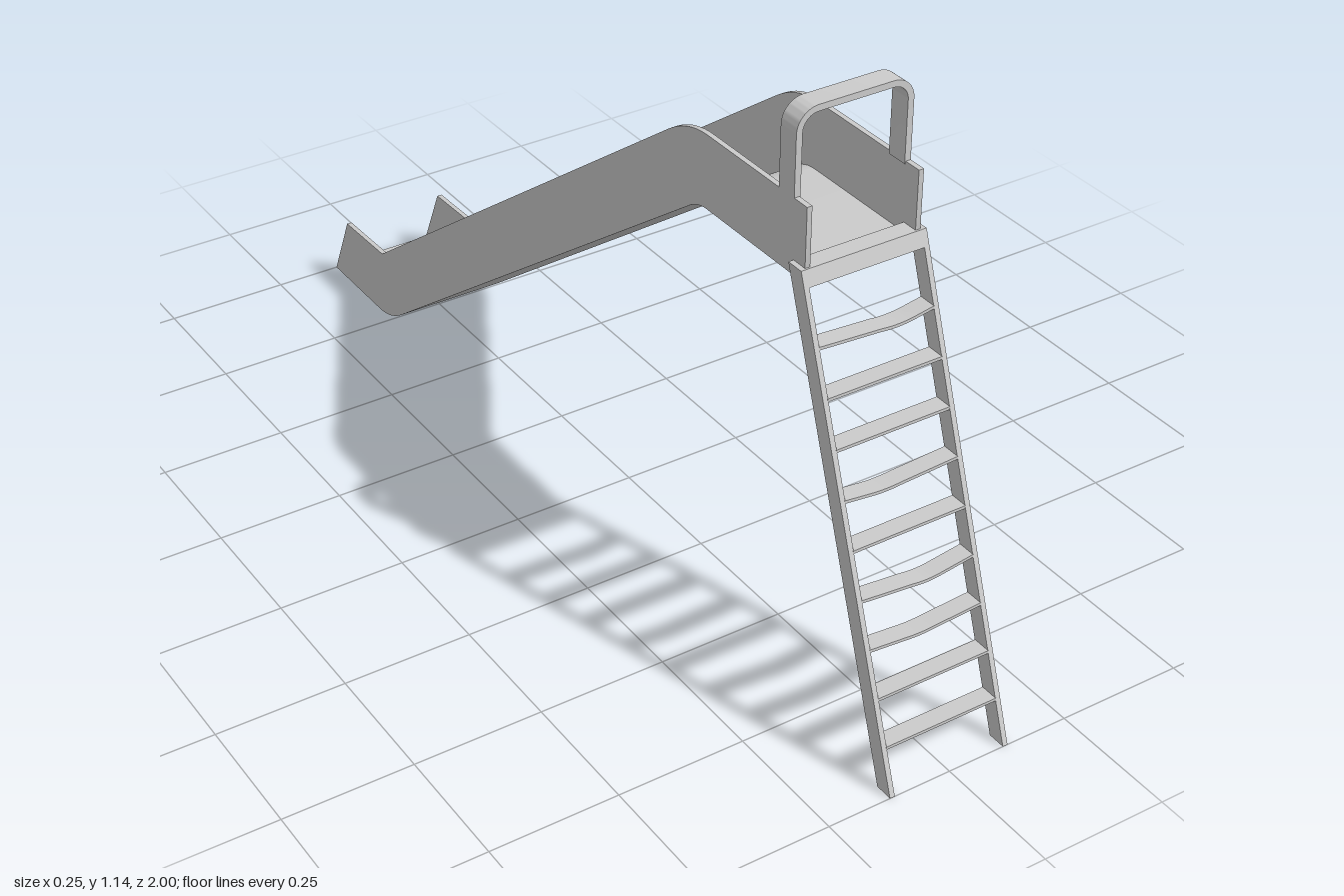
import * as THREE from 'three';
import { toCreasedNormals } from 'three/addons/utils/BufferGeometryUtils.js';

const material = new THREE.MeshStandardMaterial({ color: 0xcccccc });

function addMesh(parent, name, geometry) {
  const mesh = new THREE.Mesh(toCreasedNormals(geometry, 0.5), material);
  mesh.name = name;
  parent.add(mesh);
  return mesh;
}

// Extrudes a side profile, drawn as (z, y), between two x positions.
function sideExtrude(shape, x0, x1) {
  const geometry = new THREE.ExtrudeGeometry(shape, { depth: x1 - x0, bevelEnabled: false, curveSegments: 10 });
  geometry.rotateY(-Math.PI / 2);
  geometry.translate(x1, 0, 0);
  return geometry;
}

// Underside of the chute, traced from the platform to the exit.
function traceUnderside(path, lift) {
  path.lineTo(0.42, 0.845 + lift);
  path.quadraticCurveTo(0.392, 0.845 + lift, 0.37, 0.829 + lift);
  path.lineTo(-0.70, 0.0385 + lift);
  path.quadraticCurveTo(-0.752, lift, -0.80, lift);
}

function wallShape() {
  const s = new THREE.Shape();
  s.moveTo(0.697, 0.87);
  s.lineTo(0.69, 0.845);
  traceUnderside(s, 0);
  s.lineTo(-1, 0);
  s.lineTo(-0.935, 0.142);
  s.lineTo(-0.778, 0.147);
  s.lineTo(0.30, 0.942);
  s.quadraticCurveTo(0.358, 0.985, 0.42, 0.985);
  s.lineTo(0.697, 0.985);
  s.closePath();
  return s;
}

function floorShape() {
  const t = 0.01;
  const s = new THREE.Shape();
  s.moveTo(0.69, 0.845);
  traceUnderside(s, 0);
  s.lineTo(-1, 0);
  s.lineTo(-0.995, t);
  s.lineTo(-0.80, t);
  s.quadraticCurveTo(-0.752, t, -0.70, 0.0385 + t);
  s.lineTo(0.37, 0.829 + t);
  s.quadraticCurveTo(0.392, 0.845 + t, 0.42, 0.845 + t);
  s.lineTo(0.69, 0.845 + t);
  s.closePath();
  return s;
}

// The ladder leans back: z of its rear face at a given height.
const ladderBack = (y) => 0.965 - 0.343 * y;
const ladderDepth = 0.035;

function ladderSlice(y0, y1) {
  return new THREE.Shape([
    new THREE.Vector2(ladderBack(y0), y0),
    new THREE.Vector2(ladderBack(y0) + ladderDepth, y0),
    new THREE.Vector2(ladderBack(y1) + ladderDepth, y1),
    new THREE.Vector2(ladderBack(y1), y1),
  ]);
}

// Thin tread, sagging by dip at position bendX.
function rungGeometry(y, dip, bendX) {
  const w = 0.116, t = 0.003;
  const s = new THREE.Shape();
  s.moveTo(-w, y - t);
  s.lineTo(bendX - 0.03, y - t - dip * 0.8);
  s.quadraticCurveTo(bendX, y - t - dip * 1.2, bendX + 0.03, y - t - dip * 0.8);
  s.lineTo(w, y - t);
  s.lineTo(w, y + t);
  s.lineTo(bendX + 0.03, y + t - dip * 0.8);
  s.quadraticCurveTo(bendX, y + t - dip * 1.2, bendX - 0.03, y + t - dip * 0.8);
  s.lineTo(-w, y + t);
  s.closePath();
  const geometry = new THREE.ExtrudeGeometry(s, { depth: ladderDepth, bevelEnabled: false, curveSegments: 6 });
  geometry.translate(0, 0, ladderBack(y));
  return geometry;
}

// Upside-down U with rounded corners, traced up the left and down the right.
function handrailShape() {
  const base = 0.98, o = 0.115, i = 0.103, top = 1.14, r = 0.042;
  const s = new THREE.Shape();
  s.moveTo(-o, base);
  s.lineTo(-o, top - r);
  s.absarc(-o + r, top - r, r, Math.PI, Math.PI / 2, true);
  s.absarc(o - r, top - r, r, Math.PI / 2, 0, true);
  s.lineTo(o, base);
  s.lineTo(i, base);
  s.absarc(o - r, top - r, r - o + i, 0, Math.PI / 2, false);
  s.absarc(-o + r, top - r, r - o + i, Math.PI / 2, Math.PI, false);
  s.lineTo(-i, base);
  s.closePath();
  return s;
}

export function createModel() {
  const model = new THREE.Group();
  model.name = 'playgroundSlide';

  // Chute: bent floor between two side walls
  const chute = new THREE.Group();
  chute.name = 'chute';
  model.add(chute);
  addMesh(chute, 'chuteFloor', sideExtrude(floorShape(), -0.106, 0.106));
  addMesh(chute, 'leftWall', sideExtrude(wallShape(), 0.105, 0.115));
  addMesh(chute, 'rightWall', sideExtrude(wallShape(), -0.115, -0.105));

  // Handrail arch over the platform
  const rail = new THREE.ExtrudeGeometry(handrailShape(), { depth: 0.042, bevelEnabled: false, curveSegments: 10 });
  rail.translate(0, 0, 0.62);
  addMesh(model, 'handrail', rail);

  // Ladder: two leaning rails, a top bar and nine treads
  const ladder = new THREE.Group();
  ladder.name = 'ladder';
  model.add(ladder);
  addMesh(ladder, 'leftLadderRail', sideExtrude(ladderSlice(0, 0.873), 0.115, 0.125));
  addMesh(ladder, 'rightLadderRail', sideExtrude(ladderSlice(0, 0.873), -0.125, -0.115));
  addMesh(ladder, 'topBar', sideExtrude(ladderSlice(0.844, 0.873), -0.115, 0.115));

  // Worn treads: number -> [sag, x of the lowest point]
  const worn = { 3: [0.008, -0.01], 4: [0.012, 0.02], 6: [0.008, -0.03], 9: [0.01, 0.04] };
  for (let k = 1; k <= 9; k++) {
    const [dip, bendX] = worn[k] || [0, 0];
    addMesh(ladder, 'rung' + k, rungGeometry(k * 0.083, dip, bendX));
  }
  return model;
}
